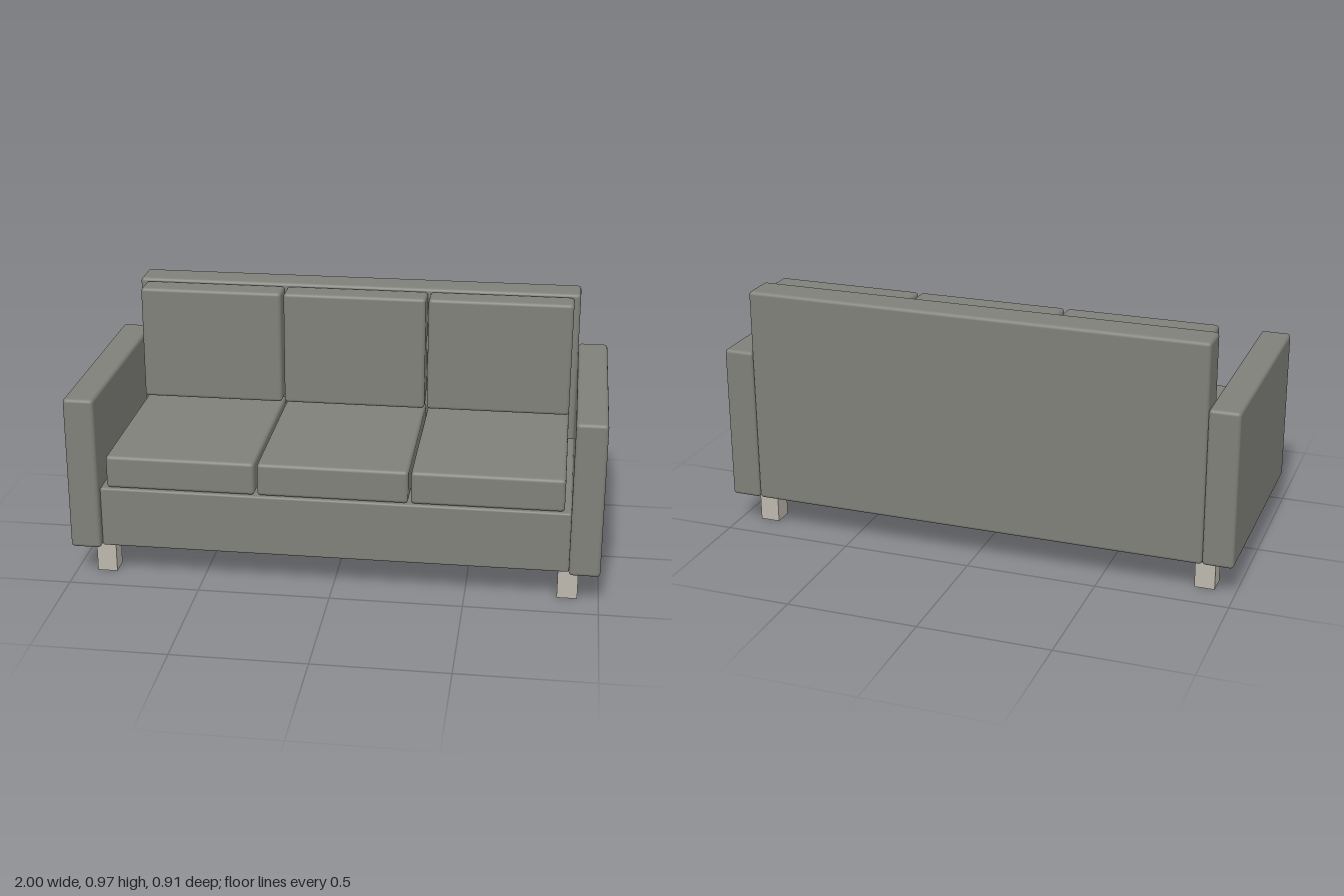
import * as THREE from 'three';
import { RoundedBoxGeometry } from 'three/addons/geometries/RoundedBoxGeometry.js';

export function createModel() {
  const sofa = new THREE.Group();
  sofa.name = 'sofa';
  const fabric = new THREE.MeshStandardMaterial({ color: 0x80807a });
  const wood = new THREE.MeshStandardMaterial({ color: 0xbdb8ad });

  // Adds a box spanning the given [min, max] ranges, with softened edges if radius > 0
  function addBox(name, [x0, x1], [y0, y1], [z0, z1], material, radius = 0) {
    const size = [x1 - x0, y1 - y0, z1 - z0];
    const geometry = radius > 0
      ? new RoundedBoxGeometry(...size, 3, radius)
      : new THREE.BoxGeometry(...size);
    const mesh = new THREE.Mesh(geometry, material);
    mesh.name = name;
    mesh.position.set((x0 + x1) / 2, (y0 + y1) / 2, (z0 + z1) / 2);
    sofa.add(mesh);
  }

  // Frame: seat base and tall back panel between the arms
  addBox('seatBase', [-0.885, 0.885], [0.128, 0.365], [-0.44, 0.424], fabric, 0.008);
  addBox('backPanel', [-0.884, 0.884], [0.128, 0.972], [-0.455, -0.319], fabric, 0.014);

  // Arms and legs, mirrored left and right
  for (const [side, s] of [['left', 1], ['right', -1]]) {
    const span = (a, b) => (s > 0 ? [a, b] : [-b, -a]);
    addBox(side + 'Arm', span(0.884, 1), [0.128, 0.729], [-0.455, 0.455], fabric, 0.014);
    addBox(side + 'FrontLeg', span(0.845, 0.921), [0, 0.13], [0.304, 0.381], wood);
    addBox(side + 'BackLeg', span(0.845, 0.921), [0, 0.13], [-0.381, -0.304], wood);
  }

  // Three seat cushions and three back cushions
  const pitch = 0.576;
  const half = 0.283;
  ['right', 'middle', 'left'].forEach((place, i) => {
    const x = (i - 1) * pitch;
    const across = [x - half, x + half];
    addBox(place + 'SeatCushion', across, [0.366, 0.494], [-0.32, 0.418], fabric, 0.014);
    addBox(place + 'BackCushion', across, [0.503, 0.961], [-0.322, -0.212], fabric, 0.014);
  });

  return sofa;
}
